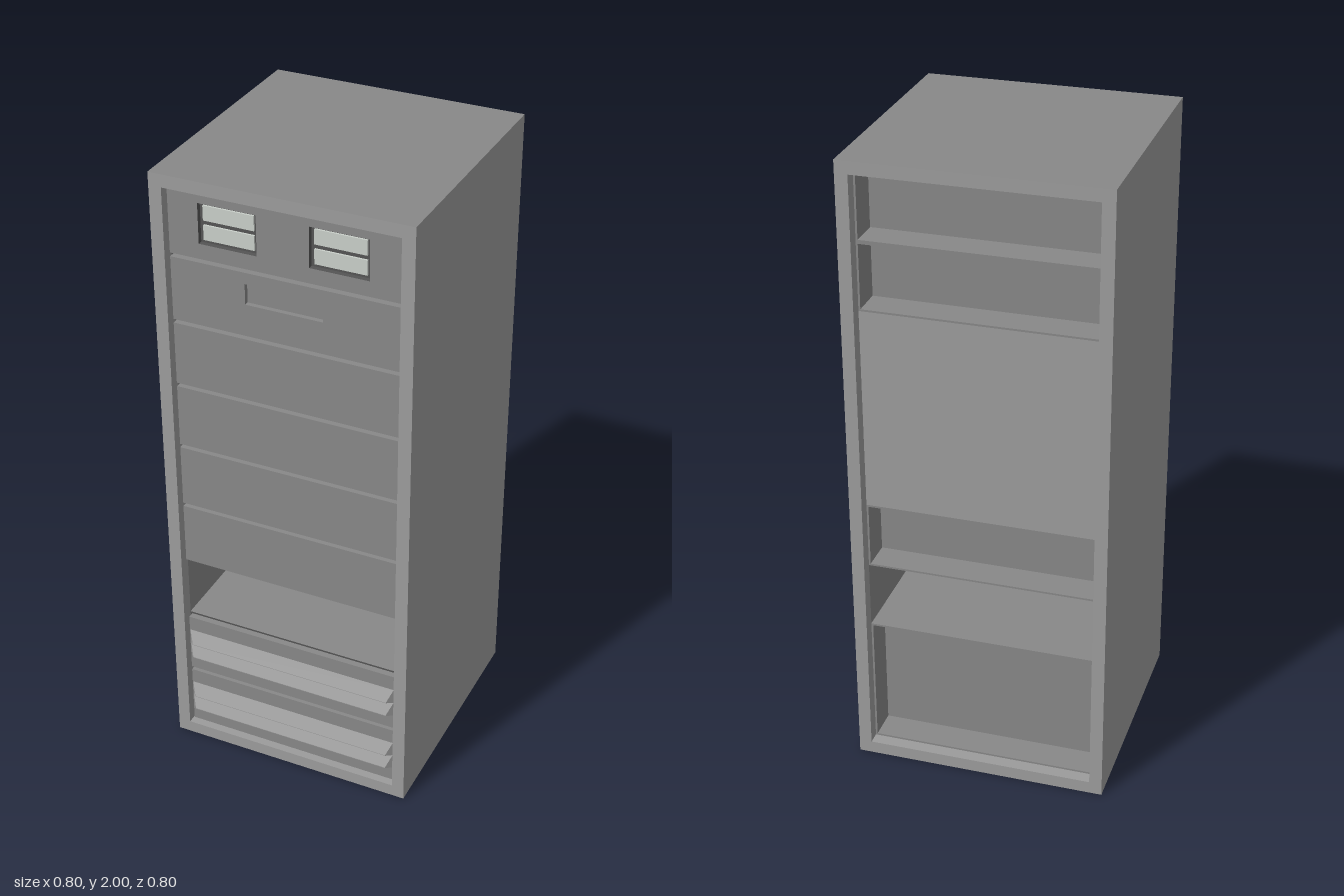
import * as THREE from 'three';

const W = 0.4, INNER = 0.36, RIM = 0.006;
const PITCH = 1.92 / 9;                       // nine equal slots
const FRONT_RIM = 0.36, FRONT = 0.38, BACK_RIM = -0.36, BACK_DEEP = -0.26;

const paint = color => new THREE.MeshStandardMaterial({ color, side: THREE.DoubleSide });
const shellGrey = paint(0x9c9c9c), panelGrey = paint(0x888888), grooveGrey = paint(0x555555);
const paneGrey = paint(0xcad0ca);

function mesh(name, geometry, material = panelGrey) {
  const m = new THREE.Mesh(geometry, material);
  m.name = name;
  return m;
}

// A rectangular ring facing z
const rect = (x0, x1, y0, y1, z) => ({ x0, x1, y0, y1, z });
const inset = (r, d) => rect(r.x0 + d, r.x1 - d, r.y0 + d, r.y1 - d, r.z);
const atZ = (r, z) => ({ ...r, z });
const slotRect = (first, last, z) =>
  rect(-INNER, INNER, 0.04 + first * PITCH, 0.04 + (last + 1) * PITCH, z);

// Flat-shaded surface joining successive rectangles, with an optional end cap.
// With openEnds, the bottom and top sides of that one section are left out.
function loft(rings, { cap = false, openEnds = -1 } = {}) {
  const p = [];
  const corners = r => [[r.x0, r.y0, r.z], [r.x1, r.y0, r.z], [r.x1, r.y1, r.z], [r.x0, r.y1, r.z]];
  const quad = (a, b, c, d) => p.push(...a, ...b, ...c, ...a, ...c, ...d);
  for (let i = 0; i < rings.length - 1; i++) {
    const a = corners(rings[i]), b = corners(rings[i + 1]);
    for (let k = 0; k < 4; k++) {
      if (i === openEnds && k % 2 === 0) continue;
      const n = (k + 1) % 4;
      quad(a[k], a[n], b[n], b[k]);
    }
  }
  if (cap) quad(...corners(rings[rings.length - 1]));
  const g = new THREE.BufferGeometry();
  g.setAttribute('position', new THREE.Float32BufferAttribute(p, 3));
  g.computeVertexNormals();
  return g;
}

// Flat plate with rectangular cut-outs
function plate(r, holes = []) {
  const outline = (path, q) => path.moveTo(q.x0, q.y0).lineTo(q.x1, q.y0).lineTo(q.x1, q.y1).lineTo(q.x0, q.y1).closePath();
  const shape = outline(new THREE.Shape(), r);
  holes.forEach(h => shape.holes.push(outline(new THREE.Path(), h)));
  return new THREE.ShapeGeometry(shape).translate(0, 0, r.z);
}

// Front of one slot: a panel standing proud of a thin dark groove
function frontPanel(name, slot, holes = []) {
  const g = new THREE.Group();
  g.name = name;
  const outer = slotRect(slot, slot, FRONT_RIM), inner = inset(outer, RIM), face = atZ(inner, FRONT);
  g.add(
    mesh('panelGroove', loft([outer, inner]), grooveGrey),
    mesh('panelEdge', loft([inner, face])),
    mesh('panelFace', plate(face, holes)));
  return g;
}

export function createModel() {
  const model = new THREE.Group();
  model.name = 'rackCabinet';

  // Cabinet shell, open underneath, with a darker top
  const outside = rect(-W, W, 0, 2, -W), opening = slotRect(0, 8, -W);
  model.add(mesh('cabinetShell', loft([
    atZ(opening, BACK_RIM), opening, outside, atZ(outside, W), atZ(opening, W), atZ(opening, FRONT_RIM),
  ], { openEnds: 2 }), shellGrey));
  model.add(mesh('cabinetTop', new THREE.PlaneGeometry(2 * W, 2 * W).rotateX(-Math.PI / 2).translate(0, 2, 0)));

  // Plain blank panels
  for (let s = 3; s <= 6; s++) model.add(frontPanel('blankPanel', s));

  // Panel with a recessed grip
  const grip = rect(-0.12, 0.12, 1.64, 1.705, FRONT);
  const gripPanel = frontPanel('gripPanel', 7, [grip]);
  gripPanel.add(mesh('gripRecess', loft([grip, atZ(grip, FRONT - 0.015)], { cap: true })));
  model.add(gripPanel);

  // Top panel with two dark-framed windows, each holding two pale panes
  const windows = [-1, 1].map(s => rect(s * 0.17 - 0.09, s * 0.17 + 0.09, 1.8, 1.925, FRONT));
  const topPanel = frontPanel('windowPanel', 8, windows);
  for (const w of windows) {
    const back = FRONT - 0.015;
    topPanel.add(mesh('windowRecess', loft([w, atZ(w, back)], { cap: true }), grooveGrey));
    for (const y of [1.81, 1.87]) {
      const base = rect(w.x0 + 0.011, w.x1 - 0.011, y, y + 0.046, back);
      topPanel.add(mesh('windowPane', loft([base, atZ(base, back + 0.006)], { cap: true }), paneGrey));
    }
  }
  model.add(topPanel);

  // Two louvred panels at the bottom; each ridge slopes down to a sharp edge
  for (let s = 0; s < 2; s++) {
    const y = 0.04 + s * PITCH;
    const bases = [0.056, 0.107].map(dy => rect(-0.352, 0.352, y + dy, y + dy + 0.05, FRONT));
    const panel = frontPanel('louvrePanel', s, bases);
    for (const b of bases) {
      const edge = rect(-0.335, 0.335, b.y0 + 0.007, b.y0 + 0.009, FRONT + 0.02);
      panel.add(mesh('louvre', loft([b, edge], { cap: true }), shellGrey));
    }
    model.add(panel);
  }

  // Open bay running right through the cabinet
  model.add(mesh('openBay', loft([slotRect(2, 2, FRONT_RIM), slotRect(2, 2, BACK_RIM)])));

  // Rear: one flush cover and four deep bays
  model.add(mesh('rearCover', plate(slotRect(4, 6, BACK_RIM)), shellGrey));
  for (const [a, b] of [[0, 1], [3, 3], [7, 7], [8, 8]]) {
    const outer = slotRect(a, b, BACK_RIM), inner = inset(outer, RIM);
    model.add(mesh('rearBay', loft([outer, inner, atZ(inner, BACK_DEEP)], { cap: true })));
  }
  return model;
}
